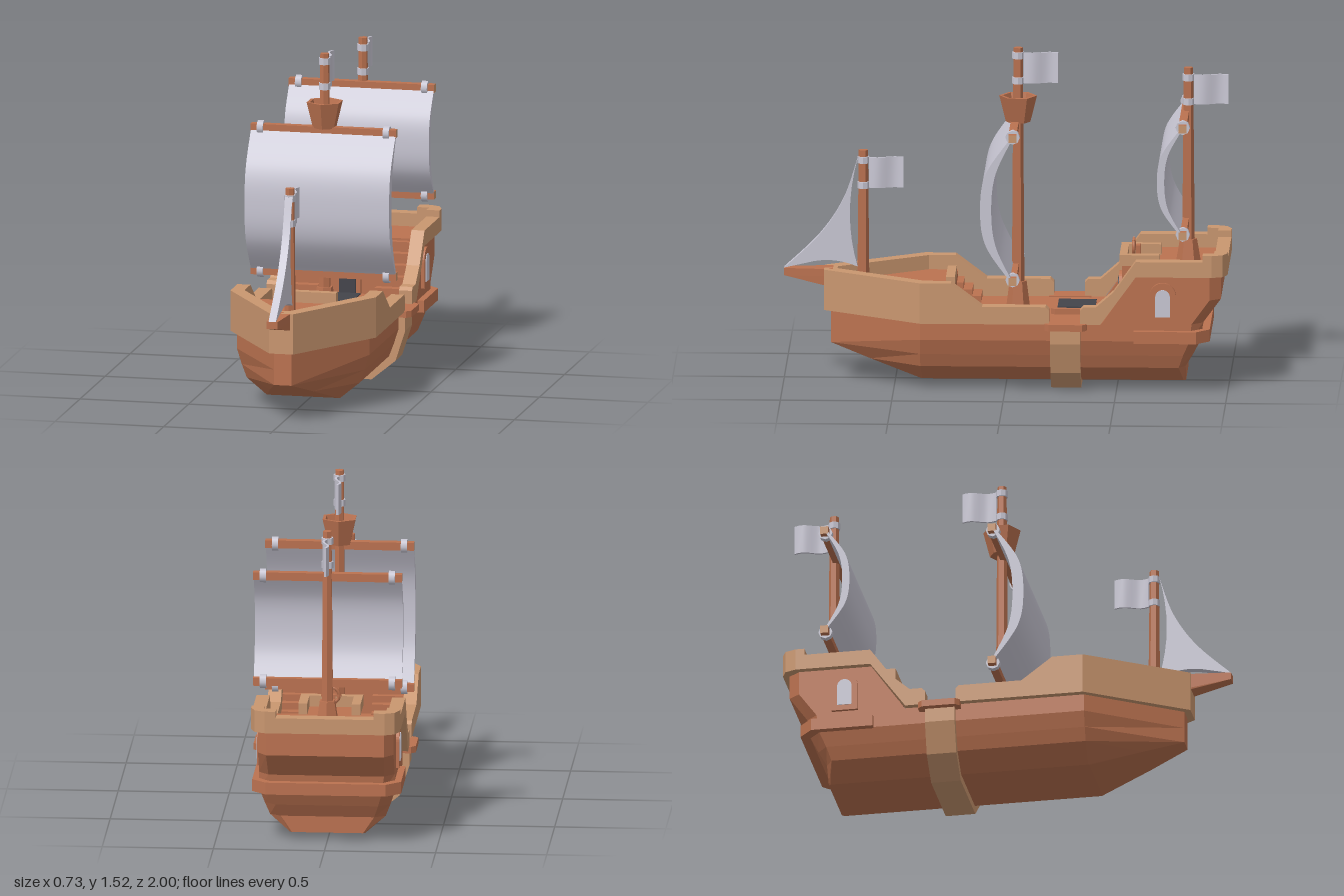
import * as THREE from 'three';
import { toCreasedNormals } from 'three/addons/utils/BufferGeometryUtils.js';

const paint = (name, color) => Object.assign(new THREE.MeshStandardMaterial({ color }), { name });

export function createModel() {
  const ship = new THREE.Group();
  ship.name = 'sailingShip';
  const wood = paint('brownWood', 0xbb7250);
  const trim = paint('tanTrim', 0xc9966f);
  const cloth = paint('paleCloth', 0xc9c7d4);
  const dark = paint('darkOpening', 0x43444b);

  const add = (name, geo, mat, x = 0, y = 0, z = 0) => {
    const m = new THREE.Mesh(geo, mat);
    m.name = name;
    m.position.set(x, y, z);
    ship.add(m);
    return m;
  };
  const box = (name, mat, x0, x1, y0, y1, z0, z1) =>
    add(name, new THREE.BoxGeometry(x1 - x0, y1 - y0, z1 - z0), mat, (x0 + x1) / 2, (y0 + y1) / 2, (z0 + z1) / 2);
  const shapeOf = pts => new THREE.Shape(pts.map(p => new THREE.Vector2(...p)));
  const extrude = (s, depth) => new THREE.ExtrudeGeometry(s, { depth, bevelEnabled: false, curveSegments: 8 });
  // side profile (z, y) pushed along x
  const alongX = (s, x0, x1) => extrude(s, x1 - x0).rotateY(-Math.PI / 2).translate(x1, 0, 0);
  // plan outline (x, z) raised along y
  const alongY = (s, y0, y1) => extrude(s, y1 - y0).rotateX(Math.PI / 2).translate(0, y1, 0);
  const mirrored = half => [...half, ...half.map(([x, z]) => [-x, z]).reverse()];

  // closed solid from stacked plan outlines: [y, half outline of (x, z) from bow to stern]
  const loft = levels => {
    const rings = levels.map(([y, half]) => mirrored(half).map(([x, z]) => [x, y, z]));
    const n = rings[0].length, v = [];
    const centre = r => [0, r[0][1], r.reduce((s, p) => s + p[2], 0) / n];
    const bottom = rings[0], top = rings[rings.length - 1];
    for (let i = 0; i < n; i++) {
      const j = (i + 1) % n;
      for (let k = 0; k + 1 < rings.length; k++) {
        const a = rings[k][i], b = rings[k][j], c = rings[k + 1][j], d = rings[k + 1][i];
        v.push(...a, ...b, ...c, ...a, ...c, ...d);
      }
      v.push(...centre(top), ...top[i], ...top[j], ...centre(bottom), ...bottom[j], ...bottom[i]);
    }
    const g = new THREE.BufferGeometry();
    g.setAttribute('position', new THREE.Float32BufferAttribute(v, 3));
    g.computeVertexNormals();
    return g;
  };

  // Hull and stern castle
  add('hull', loft([
    [0.035, [[0.165, 0.38], [0.17, 0.375], [0.17, -0.8], [0.16, -0.81]]],
    [0.11, [[0.1, 0.61], [0.26, 0.38], [0.26, -0.78], [0.21, -0.81]]],
    [0.17, [[0.04, 0.79], [0.283, 0.38], [0.283, -0.8], [0.23, -0.845]]],
    [0.24, [[0.04, 0.79], [0.305, 0.38], [0.305, -0.83], [0.25, -0.88]]],
    [0.32, [[0.04, 0.79], [0.305, 0.38], [0.305, -0.84], [0.26, -0.89]]],
  ]), wood);
  add('sternCastle', loft([
    [0.32, [[0.305, -0.68], [0.305, -0.84], [0.26, -0.89]]],
    [0.43, [[0.305, -0.68], [0.305, -0.92], [0.265, -0.97]]],
    [0.55, [[0.305, -0.68], [0.305, -0.92], [0.265, -0.97]]],
  ]), wood);
  box('castleFront', wood, -0.13, 0.13, 0.32, 0.55, -0.69, -0.52);
  add('sternLedge', alongY(shapeOf(mirrored([[0.335, -0.58], [0.335, -0.86], [0.27, -0.92]])), 0.235, 0.29), wood);
  add('hullRib', extrude(shapeOf(mirrored([[0.335, 0.3], [0.335, 0.23], [0.29, 0.09], [0.18, 0]])), 0.135)
    .translate(0, 0, -0.34), trim);

  // Foredeck and bulwarks
  add('foredeck', alongY(shapeOf(mirrored([[0.28, 0.23], [0.28, 0.37], [0.03, 0.76]])), 0.32, 0.44), wood);
  add('bowBulwark', alongY(shapeOf([[0.335, 0.38], [0.055, 0.82], [-0.055, 0.82], [-0.335, 0.38],
    [-0.275, 0.36], [-0.02, 0.76], [0.02, 0.76], [0.275, 0.36]]), 0.32, 0.505), trim);
  add('bowsprit', loft([
    [0.43, [[0.04, 0.82], [0.045, 0.78]]],
    [0.472, [[0.025, 1], [0.045, 0.78]]],
    [0.505, [[0.025, 1], [0.045, 0.78]]],
  ]), wood);
  box('foredeckRail', trim, -0.125, 0.125, 0.44, 0.49, 0.23, 0.27);

  const midRail = shapeOf([[0.38, 0.32], [0.38, 0.505], [0.24, 0.505], [0.1, 0.4], [-0.185, 0.4], [-0.2, 0.385], [-0.2, 0.32]]);
  const aftRail = shapeOf([[-0.34, 0.32], [-0.34, 0.385], [-0.355, 0.4], [-0.41, 0.4], [-0.49, 0.47], [-0.59, 0.61],
    [-0.89, 0.61], [-0.89, 0.54], [-0.59, 0.54], [-0.43, 0.32]]);
  const aftWall = shapeOf([[-0.43, 0.31], [-0.59, 0.54], [-0.7, 0.54], [-0.7, 0.31]]);
  const arch = (w, y0, y1) => {
    const s = shapeOf([[-w, y0], [w, y0], [w, y1 - w]]);
    s.absarc(0, y1 - w, w, 0, Math.PI);
    return s;
  };
  for (const s of [-1, 1]) {
    const span = (a, b) => (s > 0 ? [a, b] : [-b, -a]);
    add('midBulwark', alongX(midRail, ...span(0.275, 0.335)), trim);
    add('aftBulwark', alongX(aftRail, ...span(0.275, 0.335)), trim);
    add('aftWall', alongX(aftWall, ...span(0.27, 0.305)), wood);
    add('boardingPlatform', alongY(shapeOf([[0.26, -0.37], [0.345, -0.37], [0.365, -0.35], [0.365, -0.2],
      [0.345, -0.18], [0.26, -0.18]].map(([x, z]) => [s * x, z])), 0.295, 0.325), wood);
    // stairs to both raised decks
    for (let i = 0; i < 5; i++)
      box('aftStep', wood, ...span(0.13, 0.275), 0.32, 0.36 + i * 0.045, -0.69, -0.48 - i * 0.042);
    for (let i = 0; i < 3; i++)
      box('foreStep', wood, ...span(0.13, 0.275), 0.32, 0.35 + i * 0.03, 0.12 + i * 0.04, 0.24);
    // arched side windows
    add('windowFrame', alongX(arch(0.06, 0.33, 0.51), ...span(0.3, 0.32)), wood, 0, 0, -0.71);
    add('windowPane', alongX(arch(0.033, 0.355, 0.48), ...span(0.316, 0.323)), cloth, 0, 0, -0.71);
    box('helmSideRail', trim, ...span(0.1, 0.14), 0.55, 0.6, -0.69, -0.51);
    add('sternCorner', alongY(shapeOf([[0.335, -0.89], [0.335, -0.93], [0.315, -0.98], [0.27, -1], [0.22, -1],
      [0.22, -0.94], [0.275, -0.94], [0.275, -0.89]].map(([x, z]) => [s * x, z])), 0.6, 0.64), trim);
  }
  add('sternRail', alongY(shapeOf(mirrored([[0.275, -0.89], [0.335, -0.89], [0.335, -0.93], [0.315, -0.98],
    [0.27, -1]]).concat([[-0.275, -0.94], [0.275, -0.94]].slice(0, 2))), 0.54, 0.61), trim);
  box('helmFrontRail', trim, -0.14, 0.14, 0.55, 0.6, -0.545, -0.51);

  // Cabin door, hatch and helm
  add('doorFrame', extrude(arch(0.06, 0.32, 0.5), 0.02), wood, 0, 0, -0.525);
  add('doorPanel', extrude(arch(0.038, 0.325, 0.475), 0.006), dark, 0, 0, -0.506);
  add('hatchFrame', alongY(shapeOf(mirrored([[0.095, -0.2], [0.115, -0.22], [0.115, -0.395], [0.095, -0.415]])), 0.32, 0.345), wood);
  box('hatchGrate', dark, -0.085, 0.085, 0.345, 0.35, -0.4, -0.23);
  box('helmPost', wood, -0.02, 0.02, 0.55, 0.62, -0.6, -0.58);
  add('helmWheel', new THREE.TorusGeometry(0.036, 0.008, 6, 12), wood, 0, 0.61, -0.57);
  for (let i = 0; i < 3; i++)
    add('wheelSpoke', new THREE.BoxGeometry(0.09, 0.009, 0.009), wood, 0, 0.61, -0.57).rotation.z = i * Math.PI / 3;

  // Masts with their collars and flags
  const flag = (y, h, z) => {
    const g = new THREE.BoxGeometry(0.01, h, 0.155, 1, 1, 8);
    const p = g.attributes.position;
    for (let i = 0; i < p.count; i++) p.setX(i, p.getX(i) + 0.013 * Math.sin(p.getZ(i) * 38));
    g.computeVertexNormals();
    add('flag', g, cloth, 0, y, z - 0.1025);
  };
  const mast = (name, z, y0, y1, baseTop, rLow, low, high) => {
    const tube = (n, rt, rb, a, b, mat, sides = 6) =>
      add(n, toCreasedNormals(new THREE.CylinderGeometry(rt, rb, b - a, sides), 0.3), mat, 0, (a + b) / 2, z);
    tube(name, 0.021, rLow, y0, y1, wood);
    if (baseTop) tube('mastBase', 0.038, 0.055, y0, baseTop, wood);
    for (const y of [low, high]) tube('mastCollar', 0.027, 0.027, y - 0.015, y + 0.015, cloth, 8);
    flag((low + high) / 2, high - low + 0.025, z);
  };
  mast('mainMast', -0.05, 0.32, 1.52, 0.45, 0.029, 1.37, 1.485);
  mast('mizzenMast', -0.815, 0.55, 1.435, 0.65, 0.029, 1.28, 1.39);
  mast('foreMast', 0.645, 0.44, 1.045, 0, 0.027, 0.885, 1);
  add('crowsNest', toCreasedNormals(new THREE.LatheGeometry([[0, 1.18], [0.055, 1.18], [0.085, 1.3], [0.07, 1.3],
    [0.045, 1.21], [0, 1.21]].map(p => new THREE.Vector2(...p)), 6), 0.3), wood, 0, 0, -0.05);

  // Square sails between two yards
  const squareSail = (name, z, low, high, outer, inner) => {
    const h = high - low, s = new THREE.Shape(), at = (d, t) => new THREE.Vector2(z + d, low + t * h);
    s.moveTo(...at(0.01, 0).toArray());
    s.splineThru([at(outer * 0.83, 0.25), at(outer, 0.5), at(outer * 0.83, 0.75), at(0.01, 1)]);
    s.lineTo(...at(0, 1).toArray());
    s.splineThru([at(inner * 0.8, 0.75), at(inner, 0.5), at(inner * 0.8, 0.25), at(0, 0)]);
    add(name, toCreasedNormals(alongX(s, -0.333, 0.333), 0.6), cloth);
    for (const y of [low, high]) {
      add('yard', new THREE.BoxGeometry(0.67, 0.036, 0.036), [trim, trim, wood, wood, wood, wood], 0, y, z);
      for (const x of [-0.29, 0.29])
        add('yardCollar', new THREE.CylinderGeometry(0.032, 0.032, 0.028, 8).rotateZ(Math.PI / 2), cloth, x, y, z);
    }
  };
  squareSail('mainSail', -0.036, 0.515, 1.17, 0.145, 0.095);
  squareSail('mizzenSail', -0.8, 0.73, 1.22, 0.115, 0.082);

  // Triangular sail at the bow
  const jib = new THREE.Shape();
  jib.moveTo(0.67, 0.512);
  jib.quadraticCurveTo(0.77, 0.555, 0.87, 0.535);
  jib.lineTo(1, 0.505);
  jib.splineThru([new THREE.Vector2(0.84, 0.66), new THREE.Vector2(0.735, 0.82), new THREE.Vector2(0.67, 1.01)]);
  jib.quadraticCurveTo(0.74, 0.75, 0.67, 0.512);
  add('jibSail', toCreasedNormals(alongX(jib, -0.017, 0.017), 0.6), cloth);

  return ship;
}
